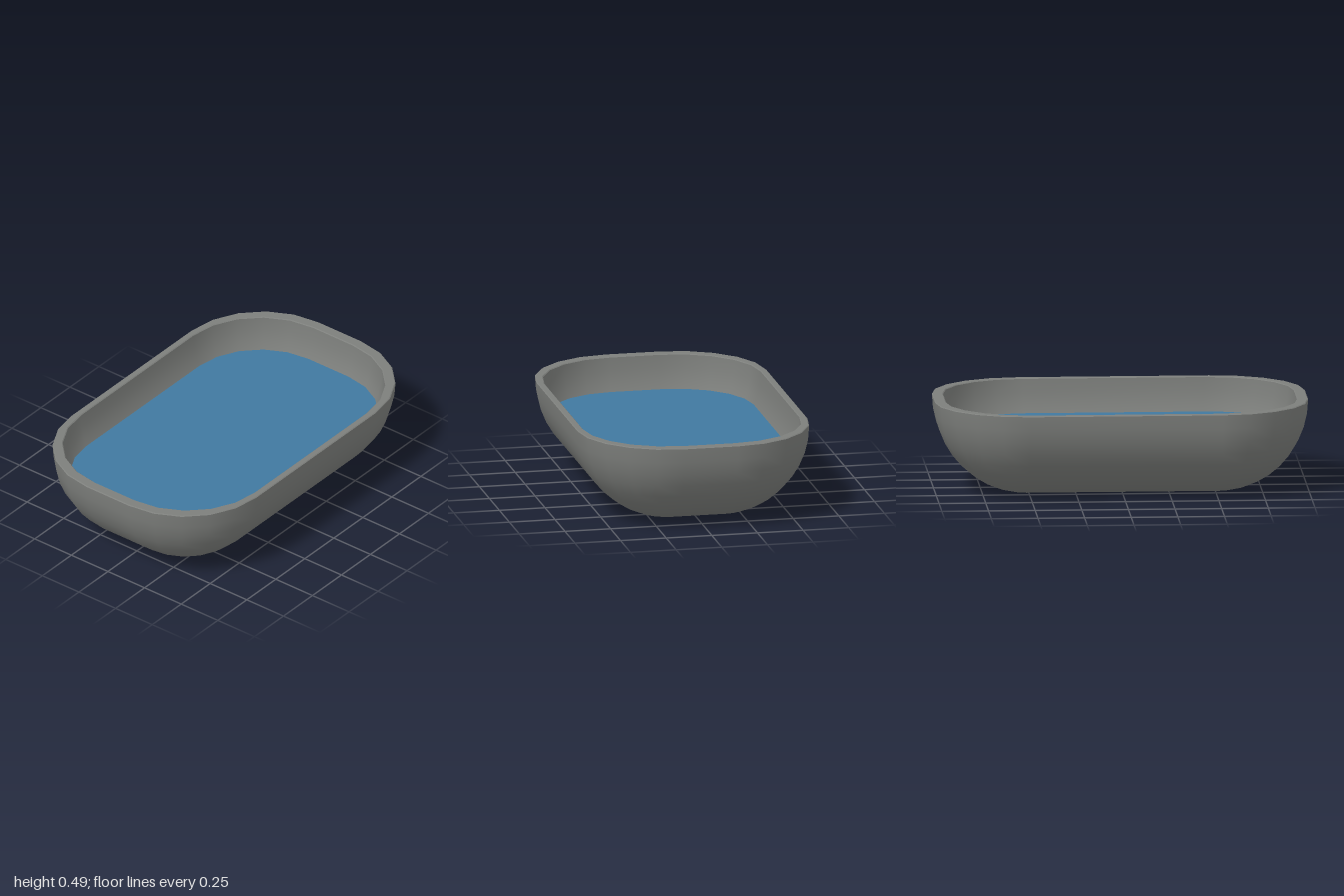
import * as THREE from 'three';
import { mergeVertices } from 'three/addons/utils/BufferGeometryUtils.js';

const CORE_X = 0.145, CORE_Z = 0.515, RADIUS = 0.485, TOP = 0.485;
const CORNER_STEPS = 5, BOWL_STEPS = 10, INNER = 0.94, WATER_Y = 0.305;

// Rounded-rectangle ring of points, running from +x towards +z
function ring(radius, y, scale = 1) {
  const points = [];
  for (let c = 0; c < 4; c++) {
    const sx = c === 0 || c === 3 ? 1 : -1, sz = c < 2 ? 1 : -1;
    for (let i = 0; i <= CORNER_STEPS; i++) {
      const a = (c + i / CORNER_STEPS) * Math.PI / 2;
      points.push(new THREE.Vector3(
        (sx * CORE_X + Math.cos(a) * radius) * scale, y,
        (sz * CORE_Z + Math.sin(a) * radius) * scale));
    }
  }
  return points;
}

// Skin between successive rings, optionally closed by a flat cap at the last one
function loft(rings, flip = false, cap = false) {
  const n = rings[0].length, points = rings.flat(), index = [];
  const tri = (a, b, c) => index.push(a, flip ? c : b, flip ? b : c);
  for (let r = 0; r < rings.length - 1; r++) {
    for (let i = 0; i < n; i++) {
      const a = r * n + i, b = r * n + (i + 1) % n;
      tri(a, b, a + n);
      tri(b, b + n, a + n);
    }
  }
  if (cap) {
    const start = (rings.length - 1) * n;
    points.push(new THREE.Vector3(0, rings.at(-1)[0].y, 0));
    for (let i = 0; i < n; i++) tri(start + i, start + (i + 1) % n, points.length - 1);
  }
  const geometry = new THREE.BufferGeometry().setFromPoints(points);
  geometry.setIndex(index);
  const merged = mergeVertices(geometry, 1e-5);
  merged.computeVertexNormals();
  return merged;
}

// Quarter-round bowl profile, from the rim down to the flat floor
function bowl(scale) {
  return Array.from({ length: BOWL_STEPS + 1 }, (_, i) => {
    const a = i / BOWL_STEPS * Math.PI / 2;
    const r = i === BOWL_STEPS ? 0 : Math.cos(a) * RADIUS;
    return ring(r, TOP - Math.sin(a) * RADIUS * scale, scale);
  });
}

export function createModel() {
  const stone = new THREE.MeshStandardMaterial({ color: 0x7d7f7c });
  stone.name = 'stone grey';
  const blue = new THREE.MeshStandardMaterial({ color: 0x4079a0 });
  blue.name = 'water blue';

  const group = new THREE.Group();
  group.name = 'waterTrough';
  const add = (name, geometry, material) => {
    const mesh = new THREE.Mesh(geometry, material);
    mesh.name = name;
    group.add(mesh);
  };

  add('outerShell', loft(bowl(1), false, true), stone);
  add('innerShell', loft(bowl(INNER), true, true), stone);

  // Rim: narrow bevel outside, flat top, narrow bevel inside
  const rim = [
    ring(RADIUS, TOP), ring(RADIUS - 0.005, TOP + 0.004),
    ring(RADIUS + 0.005, TOP + 0.004, INNER), ring(RADIUS, TOP, INNER),
  ];
  ['rimOuterBevel', 'rimTop', 'rimInnerBevel'].forEach((name, i) =>
    add(name, loft([rim[i], rim[i + 1]], true), stone));

  // Water surface meets the inner wall
  const depth = (TOP - WATER_Y) / INNER;
  const waterRadius = Math.sqrt(RADIUS ** 2 - depth ** 2);
  add('water', loft([ring(waterRadius, WATER_Y, INNER)], true, true), blue);

  return group;
}
